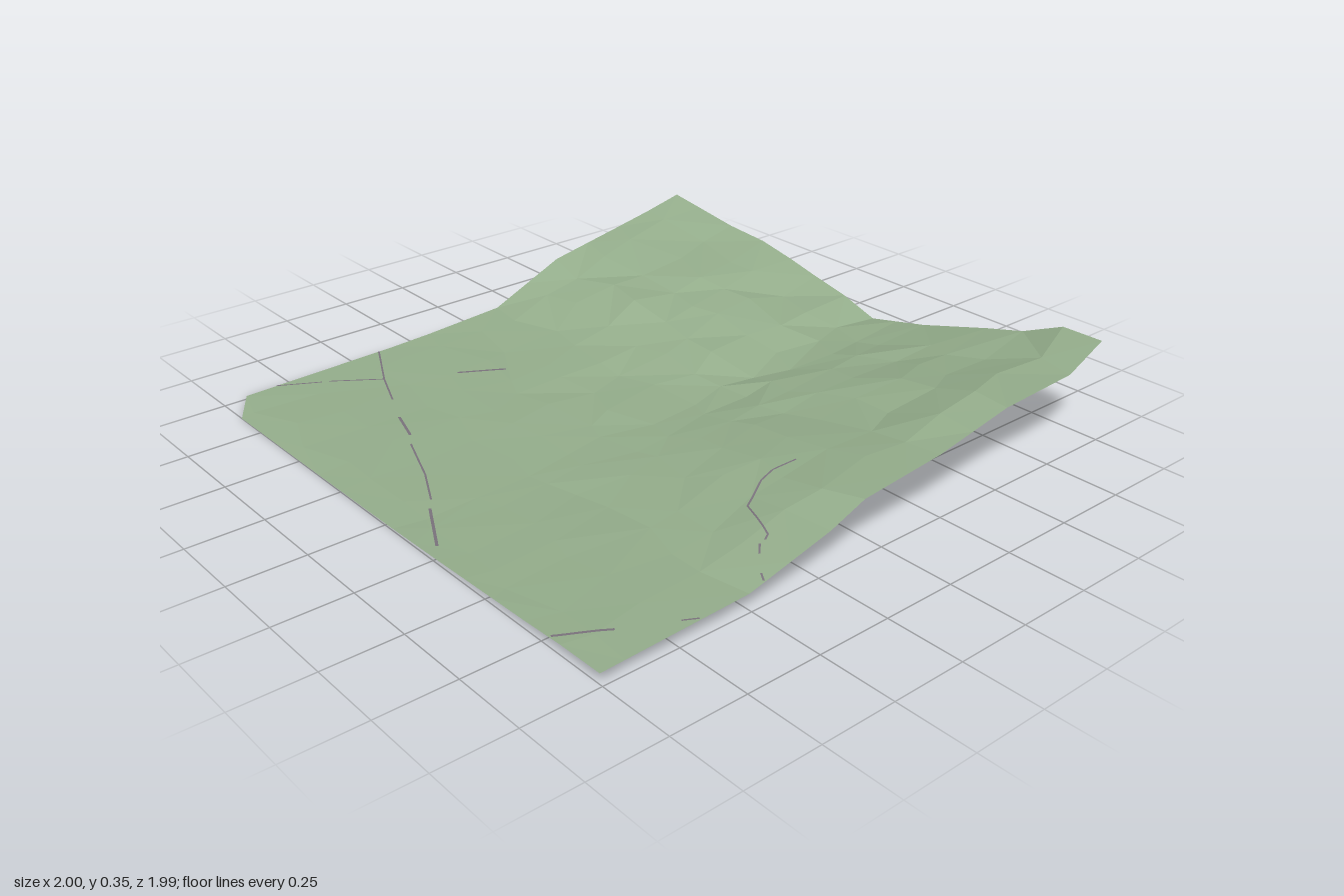
import * as THREE from 'three';

// Piecewise-linear lookup through [position, value] knots
function lerpKnots(knots, t) {
  if (t <= knots[0][0]) return knots[0][1];
  for (let i = 1; i < knots.length; i++) {
    const [a, va] = knots[i - 1], [b, vb] = knots[i];
    if (t <= b) return va + (vb - va) * (t - a) / (b - a);
  }
  return knots[knots.length - 1][1];
}

// Long profiles of the land: front edge, valley floor, back edge
const frontEdge = [[-1, 0.037], [-0.5, 0.055], [-0.2, 0.13], [-0.07, 0.18], [0.24, 0.21], [0.53, 0.265], [0.83, 0.28], [1, 0.35]];
const valley = [[-1, 0.01], [-0.5, 0.016], [0, 0.04], [0.15, 0.05], [0.5, 0.08], [1, 0.105]];
const backEdge = [[-1, 0.003], [-0.92, 0.015], [-0.27, 0.03], [0.1, 0.055], [0.38, 0.178], [0.7, 0.24], [1, 0.3]];
// How far each cross-section has climbed from the valley to its edge
const frontRise = [[0.04, 0], [0.15, 0.1], [0.27, 0.21], [0.54, 0.53], [0.68, 0.68], [0.83, 0.95], [0.99, 1]];
const backRise = [[0, 0], [0.05, 0.13], [0.25, 0.33], [0.53, 0.65], [0.7, 0.72], [0.88, 0.82], [1, 1]];

function landHeight(x, z) {
  const floor = lerpKnots(valley, x);
  return z >= 0.04
    ? floor + (lerpKnots(frontEdge, x) - floor) * lerpKnots(frontRise, z)
    : floor + (lerpKnots(backEdge, x) - floor) * lerpKnots(backRise, 0.04 - z + 0.0);
}

let seed = 11;
function jitter(amount) {
  seed = (seed * 16807) % 2147483647;
  return (seed / 2147483647 - 0.5) * 2 * amount;
}

function terrainGeometry() {
  const xs = [-1, -0.92, -0.7, -0.5, -0.35, -0.2, -0.07, 0.1, 0.24, 0.38, 0.53, 0.68, 0.83, 1];
  const zs = [-1, -0.88, -0.7, -0.53, -0.38, -0.25, -0.1, 0.04, 0.15, 0.27, 0.4, 0.54, 0.68, 0.83, 0.99];
  const nx = xs.length, nz = zs.length;
  const points = [], index = [];
  for (let j = 0; j < nz; j++) {
    for (let i = 0; i < nx; i++) {
      let x = xs[i], z = zs[j], bump = 0;
      const inside = i > 0 && i < nx - 1 && j > 0 && j < nz - 1;
      if (inside) {
        // the uplands on the right are more broken than the plain
        const rough = THREE.MathUtils.smoothstep(x, -0.4, 0.5);
        x += jitter(0.035);
        z += jitter(0.035);
        bump = jitter(0.002 + 0.011 * rough);
      }
      const y = landHeight(x, z) + bump;
      // the right edge draws in slightly toward both corners
      if (i === nx - 1 && (j === 0 || j === nz - 1)) x = 0.978;
      if (i === nx - 1 && (j === 1 || j === 2)) x = 0.985 + 0.004 * j;
      points.push(x, Math.max(0, y), z);
    }
  }
  for (let j = 0; j < nz - 1; j++) {
    for (let i = 0; i < nx - 1; i++) {
      const a = j * nx + i, b = a + 1, c = a + nx, d = c + 1;
      const corner = i === 0 && j === 0; // clipped back corner
      if (corner) index.push(b, c, d);
      else if ((i * 7 + j * 5) % 3 === 0) index.push(a, c, b, b, c, d);
      else index.push(a, c, d, a, d, b);
    }
  }
  const g = new THREE.BufferGeometry();
  g.setAttribute('position', new THREE.Float32BufferAttribute(points, 3));
  g.setIndex(index);
  const flat = g.toNonIndexed();
  flat.computeVertexNormals();
  return flat;
}

// Narrow ribbon draped over the land along a path of [x, z] points
function trackGeometry(path, width, groundAt, lift) {
  const pts = [];
  for (let k = 0; k < path.length - 1; k++) {
    const [x0, z0] = path[k], [x1, z1] = path[k + 1];
    const steps = Math.ceil(Math.hypot(x1 - x0, z1 - z0) / 0.02);
    for (let s = k ? 1 : 0; s <= steps; s++) {
      pts.push([x0 + (x1 - x0) * s / steps, z0 + (z1 - z0) * s / steps]);
    }
  }
  const pos = [], index = [];
  pts.forEach(([x, z], k) => {
    const p = pts[Math.max(0, k - 1)], q = pts[Math.min(pts.length - 1, k + 1)];
    const len = Math.hypot(q[0] - p[0], q[1] - p[1]);
    const ox = -(q[1] - p[1]) / len * width / 2, oz = (q[0] - p[0]) / len * width / 2;
    const y = Math.max(0, groundAt(x, z) + lift);
    pos.push(x + ox, y, z + oz, x - ox, y, z - oz);
    if (k) {
      const a = 2 * k - 2;
      index.push(a, a + 2, a + 1, a + 1, a + 2, a + 3);
    }
  });
  const g = new THREE.BufferGeometry();
  g.setAttribute('position', new THREE.Float32BufferAttribute(pos, 3));
  g.setIndex(index);
  g.computeVertexNormals();
  return g;
}

export function createModel() {
  const group = new THREE.Group();
  group.name = 'landscape';

  const grass = new THREE.MeshStandardMaterial({ color: 0x94ad8b, side: THREE.DoubleSide, flatShading: true });
  grass.name = 'sage green';
  const road = new THREE.MeshStandardMaterial({ color: 0x7a727c, side: THREE.DoubleSide });
  road.name = 'road grey';

  const terrain = new THREE.Mesh(terrainGeometry(), grass);
  terrain.name = 'terrain';
  group.add(terrain);

  // Ground height straight below a point
  const ray = new THREE.Raycaster();
  const down = new THREE.Vector3(0, -1, 0);
  const groundAt = (x, z) => {
    ray.set(new THREE.Vector3(x, 2, z), down);
    const hit = ray.intersectObject(terrain)[0];
    return hit ? hit.point.y : landHeight(x, z);
  };

  // Stretches of track that break the surface: [width, path]
  const tracks = [
    [0.006, [[-0.41, -0.998], [-0.51, -0.8], [-0.57, -0.65]]],
    [0.009, [[-0.62, -0.53], [-0.66, -0.4]]],
    [0.006, [[-0.69, -0.35], [-0.76, -0.16], [-0.83, -0.02]]],
    [0.009, [[-0.86, 0.02], [-0.96, 0.21]]],
    [0.006, [[-0.81, -0.998], [-0.68, -0.92]]],
    [0.006, [[-0.66, -0.91], [-0.51, -0.8]]],
    [0.01, [[-0.3, -0.67], [-0.16, -0.58]]],
    [0.006, [[0, 0.655], [-0.08, 0.64], [-0.13, 0.645], [-0.24, 0.705], [-0.31, 0.86], [-0.33, 0.87]]],
    [0.006, [[-0.35, 0.87], [-0.38, 0.9]]],
    [0.006, [[-0.43, 0.96], [-0.445, 0.985]]],
    [0.009, [[-0.995, 0.785], [-0.86, 0.875]]],
    [0.006, [[-0.71, 0.96], [-0.67, 0.985]]],
  ];
  tracks.forEach(([width, path], k) => {
    for (const [side, lift] of [['Top', 0.002], ['Underside', -0.002]]) {
      const mesh = new THREE.Mesh(trackGeometry(path, width, groundAt, lift), road);
      mesh.name = `track${k + 1}${side}`;
      group.add(mesh);
    }
  });
  return group;
}
